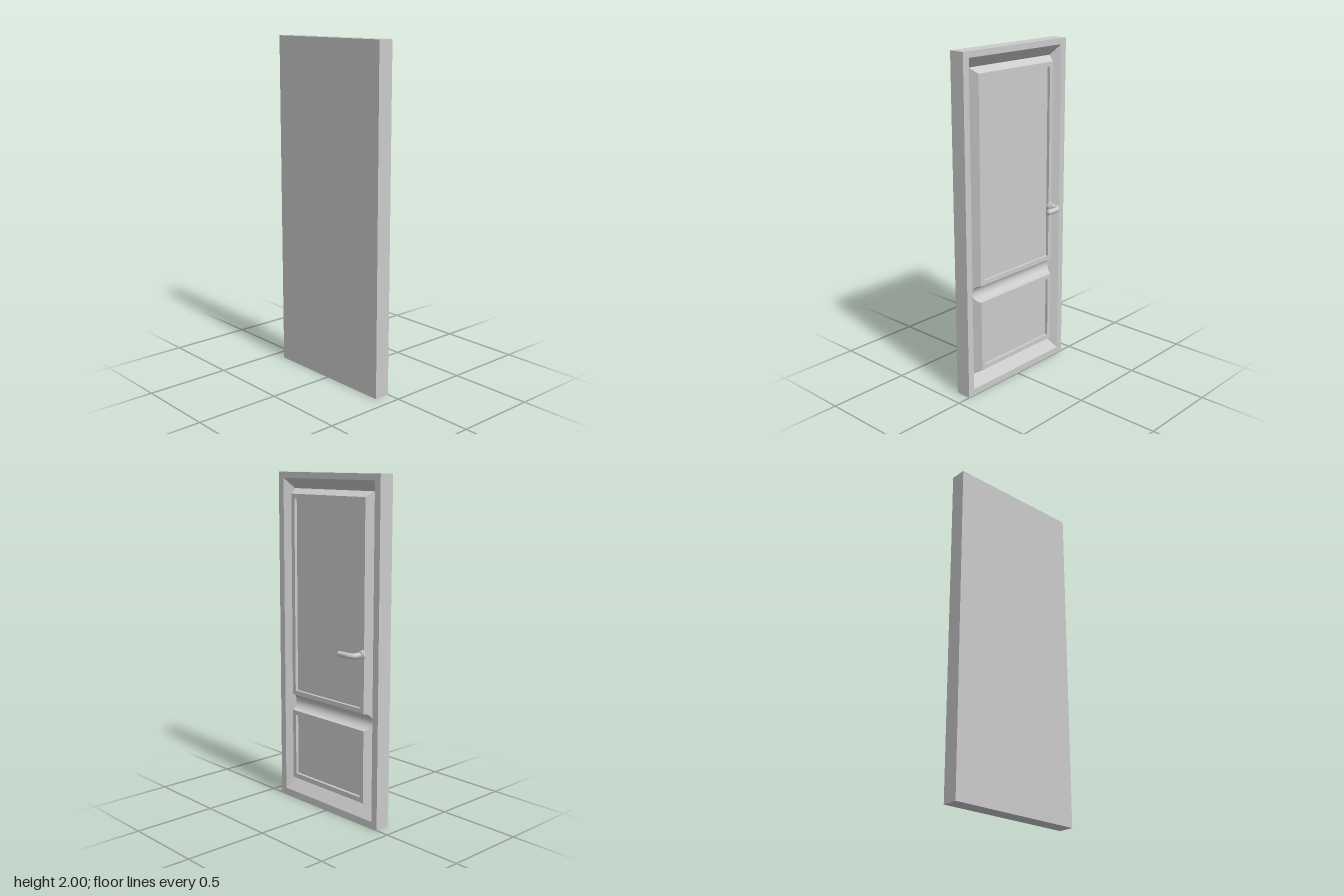
import * as THREE from 'three';
import { toCreasedNormals } from 'three/addons/utils/BufferGeometryUtils.js';

const material = new THREE.MeshStandardMaterial({ color: 0xcccccc });

// Collects quads (corners counter-clockwise seen from outside) into a geometry.
function quadBuilder() {
  const pos = [];
  return {
    quad(a, b, c, d) { for (const p of [a, b, c, a, c, d]) pos.push(...p); },
    // Band of four faces between two rectangles lying in x planes.
    ring(r, s) {
      for (let i = 0; i < 4; i++) {
        const j = (i + 1) % 4;
        this.quad(r[i], r[j], s[j], s[i]);
      }
    },
    mesh(name) {
      const g = new THREE.BufferGeometry();
      g.setAttribute('position', new THREE.Float32BufferAttribute(pos, 3));
      const mesh = new THREE.Mesh(toCreasedNormals(g, 0.4), material);
      mesh.name = name;
      return mesh;
    },
  };
}

// Rectangle facing +x: half width in z, bottom, top, depth.
const rect = (w, y0, y1, x) => [[x, y0, w], [x, y0, -w], [x, y1, -w], [x, y1, w]];

const FLOOR = -0.05; // depth of the grooves

function frame() {
  const b = quadBuilder();
  const back = rect(0.417, 0, 2, -0.095);
  const front = rect(0.417, 0, 2, 0);
  const lip = rect(0.375, 0.04, 1.965, 0);
  const floor = rect(0.33, 0.105, 1.905, FLOOR);
  b.quad(back[3], back[2], back[1], back[0]);
  b.ring(back, front);
  b.ring(front, lip);
  b.ring(lip, floor);
  return b.mesh('doorFrame');
}

function panels() {
  const b = quadBuilder();
  // Vertical profile: lower panel, rounded cross groove, upper panel.
  const profile = [[0.105, FLOOR], [0.135, 0]];
  const steps = 14;
  for (let i = 0; i <= steps; i++) {
    const t = (i / steps) * Math.PI;
    profile.push([0.615 - 0.05 * Math.cos(t), FLOOR * Math.sin(t)]);
  }
  profile.push([1.875, 0], [1.905, FLOOR]);

  const halfWidth = (x) => 0.305 + 0.025 * (x / FLOOR);
  for (let i = 0; i < profile.length - 1; i++) {
    const [y0, x0] = profile[i], [y1, x1] = profile[i + 1];
    const w0 = halfWidth(x0), w1 = halfWidth(x1);
    if (y1 - y0 > 0.2) {
      // Flat panel with a shallow sunken field
      const m = 0.027;
      const edge = rect(w0 - m, y0 + m, y1 - m, 0);
      const field = rect(w0 - m, y0 + m, y1 - m, -0.018);
      b.ring(rect(w0, y0, y1, 0), edge);
      b.ring(edge, field);
      b.quad(...field);
    } else {
      b.quad([x0, y0, w0], [x0, y0, -w0], [x1, y1, -w1], [x1, y1, w1]);
    }
    // Sloping sides down to the surrounding groove
    const side = (s) => [[FLOOR, y0, s * 0.33], [x0, y0, s * w0], [x1, y1, s * w1], [FLOOR, y1, s * 0.33]];
    b.quad(...side(1));
    b.quad(...side(-1).reverse());
  }
  return b.mesh('doorPanels');
}

function handle() {
  const group = new THREE.Group();
  group.name = 'handle';
  const add = (name, geometry) => {
    const mesh = new THREE.Mesh(geometry, material);
    mesh.name = name;
    group.add(mesh);
    return mesh;
  };
  // Stepped round rose
  for (const [name, r, length] of [['roseBase', 0.028, 0.012], ['roseCollar', 0.023, 0.021]]) {
    const disc = add(name, new THREE.CylinderGeometry(r, r, length, 24));
    disc.rotation.z = Math.PI / 2;
    disc.position.x = length / 2;
  }
  // Lever: a straight neck bending into the grip
  const v = (x, z) => new THREE.Vector3(x, 0, z);
  const path = new THREE.CurvePath();
  path.add(new THREE.LineCurve3(v(0.01, 0), v(0.048, 0)));
  path.add(new THREE.CubicBezierCurve3(v(0.048, 0), v(0.066, 0), v(0.077, 0.018), v(0.077, 0.046)));
  path.add(new THREE.LineCurve3(v(0.077, 0.046), v(0.077, 0.106)));
  add('lever', new THREE.TubeGeometry(path, 40, 0.016, 16));
  // Softly domed end
  const tip = add('leverTip', new THREE.SphereGeometry(0.016, 16, 6, 0, Math.PI * 2, 0, Math.PI / 2));
  tip.rotation.x = Math.PI / 2;
  tip.scale.y = 0.4;
  tip.position.set(0.077, 0, 0.106);
  group.position.set(0, 1.007, -0.29);
  return group;
}

export function createModel() {
  const door = new THREE.Group();
  door.name = 'door';
  door.add(frame(), panels(), handle());
  return door;
}
